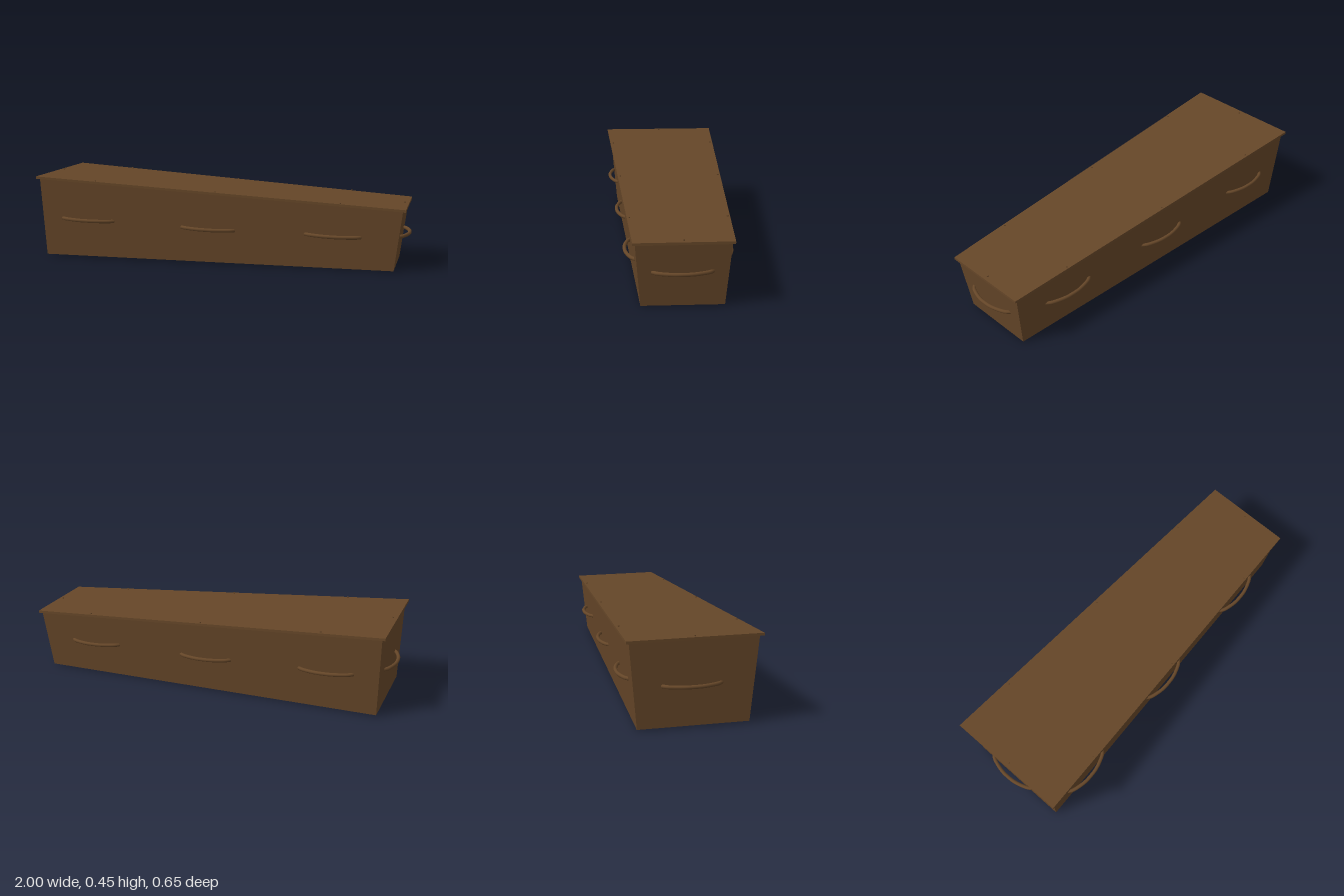
import * as THREE from 'three';

const wood = new THREE.MeshStandardMaterial({ color: 0x654628 });

// Corner order everywhere: head back, head front, foot front, foot back
const BASE = [[-0.94, 0.009, -0.27], [-0.95, 0.011, 0.27], [0.925, 0.005, 0.225], [0.93, 0.002, -0.17]];
const RIM = [[-0.955, 0.431, -0.31], [-0.965, 0.433, 0.305], [0.965, 0.317, 0.25], [0.97, 0.315, -0.197]];
const LID_LOW = [[-0.972, 0.43, -0.326], [-0.981, 0.432, 0.321], [0.98, 0.316, 0.262], [0.986, 0.314, -0.208]];
const LID_TOP = LID_LOW.map(([x, y, z]) => [x, y + 0.013, z]);

// Point on a four-cornered panel: u runs head to foot, v runs back to front
function onPanel(c, u, v) {
  const [hb, hf, ff, fb] = c.map((p) => new THREE.Vector3(...p));
  return hb.lerp(hf, v).lerp(fb.lerp(ff, v), u);
}

// Box whose corners are moved onto a lower and an upper panel
function taperedBox(low, high) {
  const geo = new THREE.BoxGeometry(1, 1, 1);
  const pos = geo.attributes.position;
  for (let i = 0; i < pos.count; i++) {
    const p = onPanel(pos.getY(i) > 0 ? high : low, pos.getX(i) + 0.5, pos.getZ(i) + 0.5);
    pos.setXYZ(i, p.x, p.y, p.z);
  }
  geo.computeVertexNormals();
  return geo;
}

function addMesh(parent, name, geo) {
  const mesh = new THREE.Mesh(geo, wood);
  mesh.name = name;
  parent.add(mesh);
  return mesh;
}

// Bowed grip between two points on a wall, with rounded ends
function addHandle(parent, name, a, b, out, bulge) {
  const pts = [[0, -0.1], [0.06, 0.28], [0.2, 0.68], [0.36, 0.95], [0.5, 1], [0.64, 0.95], [0.8, 0.68], [0.94, 0.28], [1, -0.1]]
    .map(([t, h]) => a.clone().lerp(b, t).addScaledVector(out, h * bulge));
  const group = new THREE.Group();
  group.name = name;
  addMesh(group, 'grip', new THREE.TubeGeometry(new THREE.CatmullRomCurve3(pts), 32, 0.0095, 10));
  for (const p of [pts[0], pts[8]]) {
    addMesh(group, 'gripEnd', new THREE.SphereGeometry(0.0095, 10, 8)).position.copy(p);
  }
  parent.add(group);
}

export function createModel() {
  const model = new THREE.Group();
  model.name = 'coffin';
  addMesh(model, 'body', taperedBox(BASE, RIM));
  addMesh(model, 'lid', taperedBox(LID_LOW, LID_TOP));

  // Three handles along each long side
  const wall = (u, v, y) => {
    const low = onPanel(BASE, u, v), high = onPanel(RIM, u, v);
    return low.clone().lerp(high, (y - low.y) / (high.y - low.y));
  };
  const heights = [0.213, 0.189, 0.179];
  for (const side of [1, -1]) {
    [-0.7, -0.04, 0.615].forEach((x0, i) => {
      const x = side > 0 ? x0 : x0 + 0.022;
      const at = (px, dy) => wall((px + 0.953) / 1.9, side > 0 ? 1 : 0, heights[i] + dy);
      addHandle(model, side > 0 ? 'frontHandle' : 'backHandle',
        at(x - 0.14, 0.004), at(x + 0.14, -0.004), new THREE.Vector3(0, 0, side), 0.036);
    });
  }

  // One handle on each end
  const endHandle = (name, u, y, zMid, dir, reach) => {
    const x = wall(u, 0.5, y).x;
    addHandle(model, name, new THREE.Vector3(x, y, zMid - 0.14), new THREE.Vector3(x, y, zMid + 0.14),
      new THREE.Vector3(dir, 0, 0), reach - Math.abs(x) - 0.0095);
  };
  endHandle('headHandle', 0, 0.213, -0.01, -1, 1);
  endHandle('footHandle', 1, 0.175, 0.028, 1, 1);

  // Small lid screws around the edge
  const screws = [[0.012, 0.5], [0.988, 0.5]];
  for (const u of [0.168, 0.5, 0.832]) screws.push([u, 0.025], [u, 0.975]);
  for (const [u, v] of screws) {
    const screw = addMesh(model, 'lidScrew', new THREE.CylinderGeometry(0.0045, 0.0045, 0.012, 10));
    screw.position.copy(onPanel(LID_TOP, u, v));
    screw.rotation.z = -0.059;
  }
  return model;
}
